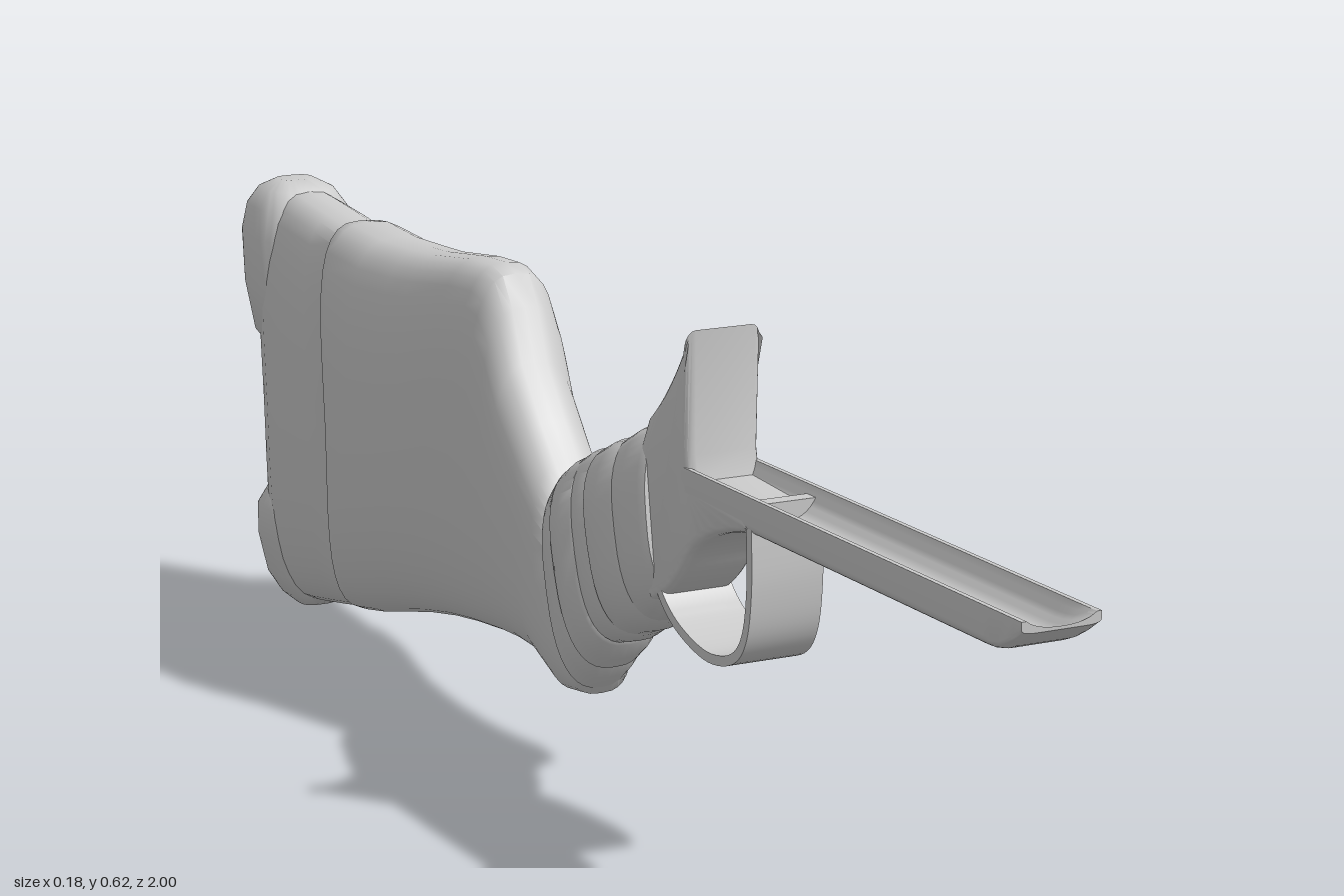
import * as THREE from 'three';
import { toCreasedNormals } from 'three/addons/utils/BufferGeometryUtils.js';

const mat = new THREE.MeshStandardMaterial({ color: 0xcccccc, side: THREE.DoubleSide });
const CX = -0.004; // slight sideways offset of the metalwork

function mesh(name, geo, crease = 0.7) {
  const m = new THREE.Mesh(toCreasedNormals(geo, crease), mat);
  m.name = name;
  return m;
}

// Skin of superellipse rings. Section: [zA, yA, zB, yB, halfWidth, bow],
// where A and B are the two ends of the ring's long axis in the side plane.
function loft(name, sections, { e = 0.7, n = 40, x = 0, crease = 0.75 } = {}) {
  const flat = (s) => s.map((v, i) => (i === 4 ? 0 : v));
  const rings = [flat(sections[0]), ...sections, flat(sections[sections.length - 1])];
  const pos = [], idx = [];
  const pw = (v) => Math.sign(v) * Math.abs(v) ** e;
  rings.forEach(([zA, yA, zB, yB, w, bow = 0], i) => {
    for (let j = 0; j < n; j++) {
      const t = (j / n) * Math.PI * 2, v = pw(Math.cos(t));
      pos.push(x + w * pw(Math.sin(t)),
        (yA + yB) / 2 + (v * (yA - yB)) / 2,
        (zA + zB) / 2 + (v * (zA - zB)) / 2 + bow * (1 - v * v));
      if (i < rings.length - 1) {
        const a = i * n + j, b = i * n + (j + 1) % n;
        idx.push(a, b, a + n, b, b + n, a + n);
      }
    }
  });
  const g = new THREE.BufferGeometry();
  g.setAttribute('position', new THREE.Float32BufferAttribute(pos, 3));
  g.setIndex(idx);
  return mesh(name, g, crease);
}

// Side profile in (z, y), extruded across the width
function sideExtrude(name, shape, width, bevel) {
  const g = new THREE.ExtrudeGeometry(shape, {
    depth: width - 2 * bevel, bevelEnabled: bevel > 0, bevelSize: bevel, bevelThickness: bevel,
    bevelOffset: -bevel, bevelSegments: 4, curveSegments: 16,
  });
  g.translate(0, 0, -(width - 2 * bevel) / 2).rotateY(-Math.PI / 2).translate(CX, 0, 0);
  return mesh(name, g);
}

function buttStock() {
  const g = new THREE.Group();
  g.name = 'buttStock';
  g.add(loft('stockBody', [
    [-0.08, 0.33, 0.00, 0.13, 0.045],
    [-0.09, 0.355, -0.02, 0.105, 0.055],
    [-0.11, 0.375, -0.06, 0.10, 0.059],
    [-0.15, 0.42, -0.13, 0.128, 0.061],
    [-0.20, 0.485, -0.19, 0.13, 0.063],
    [-0.225, 0.55, -0.24, 0.127, 0.065],
    [-0.25, 0.588, -0.29, 0.122, 0.067],
    [-0.28, 0.597, -0.33, 0.118, 0.069],
    [-0.34, 0.594, -0.39, 0.11, 0.074],
    [-0.45, 0.58, -0.46, 0.097, 0.082, 0.02],
    [-0.50, 0.577, -0.51, 0.085, 0.089, 0.02],
    [-0.60, 0.573, -0.60, 0.062, 0.092, 0.03],
    [-0.69, 0.578, -0.66, 0.05, 0.091, 0.04],
    [-0.715, 0.576, -0.685, 0.046, 0.088, 0.05],
    [-0.725, 0.568, -0.695, 0.046, 0.080, 0.05],
    [-0.78, 0.575, -0.75, 0.035, 0.080, 0.04],
    [-0.86, 0.583, -0.83, 0.02, 0.077, 0.03],
    [-0.93, 0.588, -0.89, 0.012, 0.074, 0.03],
    [-0.965, 0.58, -0.925, 0.02, 0.066, 0.035],
    [-0.98, 0.565, -0.94, 0.035, 0.05, 0.035],
  ]));
  // Raised pads at the two corners of the butt
  g.add(loft('heelPad', [
    [-0.87, 0.36, -0.945, 0.375, 0.05],
    [-0.86, 0.385, -0.965, 0.395, 0.068],
    [-0.86, 0.45, -0.985, 0.46, 0.076],
    [-0.86, 0.52, -1.0, 0.53, 0.074],
    [-0.87, 0.56, -1.0, 0.563, 0.064],
    [-0.89, 0.585, -0.985, 0.585, 0.048],
    [-0.92, 0.597, -0.96, 0.597, 0.025],
  ]));
  g.add(loft('toePad', [
    [-0.87, 0.003, -0.92, 0.0, 0.024],
    [-0.85, 0.02, -0.945, 0.015, 0.042],
    [-0.85, 0.05, -0.957, 0.045, 0.06],
    [-0.85, 0.10, -0.965, 0.10, 0.071],
    [-0.85, 0.145, -0.957, 0.145, 0.074],
    [-0.86, 0.17, -0.945, 0.17, 0.06],
  ]));
  return g;
}

// Wrapped wrist: a core with overlapping, slanted cloth bands
function wrist() {
  const g = new THREE.Group();
  g.name = 'wrappedWrist';
  g.add(loft('wristCore', [
    [0.19, 0.485, 0.215, 0.295, 0.052],
    [0.09, 0.45, 0.13, 0.25, 0.054],
    [-0.02, 0.395, 0.05, 0.20, 0.054],
    [-0.10, 0.345, -0.02, 0.12, 0.05],
  ]));
  const bands = [
    [[0.19, 0.50, 0.222, 0.28], [0.09, 0.455, 0.155, 0.24], 0.061],
    [[0.12, 0.466, 0.17, 0.245], [0.03, 0.43, 0.10, 0.21], 0.064],
    [[0.05, 0.437, 0.115, 0.215], [-0.02, 0.408, 0.06, 0.19], 0.060],
    [[0.01, 0.42, 0.065, 0.192], [-0.06, 0.385, 0.02, 0.145], 0.064],
    [[-0.03, 0.405, 0.03, 0.16], [-0.085, 0.36, -0.015, 0.11], 0.060],
  ];
  bands.forEach(([a, b, w], k) => {
    const at = (t, shrink, width) => {
      const s = a.map((v, i) => v + (b[i] - v) * t);
      return [s[0], s[1] - shrink, s[2], s[3] + shrink, width];
    };
    g.add(loft('wrapBand' + (k + 1), [
      at(0, 0.008, w - 0.007), at(0.1, 0.001, w - 0.001), at(0.5, -0.002, w + 0.002),
      at(0.9, 0.001, w - 0.001), at(1, 0.008, w - 0.007),
    ], { x: CX, e: 0.75 }));
  });
  return g;
}

// Receiver with the upright tang
function receiver() {
  const s = new THREE.Shape();
  s.moveTo(0.44, 0.422);
  s.lineTo(0.43, 0.445);
  s.lineTo(0.30, 0.45);
  s.lineTo(0.293, 0.48);
  s.lineTo(0.292, 0.625);
  s.quadraticCurveTo(0.25, 0.55, 0.195, 0.505);
  s.lineTo(0.14, 0.40);
  s.lineTo(0.20, 0.285);
  s.quadraticCurveTo(0.25, 0.30, 0.29, 0.355);
  s.quadraticCurveTo(0.33, 0.405, 0.44, 0.422);
  return sideExtrude('receiver', s, 0.096, 0.012);
}

// Open trough with a rising, tapered nose
function foreEnd() {
  const top = 0.465, w = 0.048, z0 = 0.28, z1 = 1.0;
  const s = new THREE.Shape();
  s.moveTo(-w, top);
  s.lineTo(-w, 0.437);
  s.quadraticCurveTo(-w, 0.42, -0.03, 0.42);
  s.lineTo(0.03, 0.42);
  s.quadraticCurveTo(w, 0.42, w, 0.437);
  s.lineTo(w, top);
  s.lineTo(w - 0.006, top);
  s.quadraticCurveTo(0.03, 0.432, 0, 0.432);
  s.quadraticCurveTo(-0.03, 0.432, -w + 0.006, top);
  const g = new THREE.ExtrudeGeometry(s, { depth: z1 - z0, steps: 48, bevelEnabled: false, curveSegments: 8 });
  g.translate(CX, 0, z0);
  const p = g.attributes.position;
  for (let i = 0; i < p.count; i++) {
    const t = THREE.MathUtils.clamp((p.getZ(i) - 0.93) / 0.07, 0, 1);
    p.setY(i, top - (top - p.getY(i)) * (1 - 0.7 * t * t));
  }
  return mesh('foreEnd', g);
}

// Flat strap bent into the trigger guard
function triggerGuard() {
  const pts = [[0.436, 0.43], [0.438, 0.36], [0.428, 0.30], [0.40, 0.267], [0.345, 0.254],
    [0.285, 0.265], [0.24, 0.288], [0.20, 0.33]].map(([z, y]) => new THREE.Vector2(z, y));
  const curve = new THREE.SplineCurve(pts), outer = [], inner = [];
  for (let i = 0; i <= 40; i++) {
    const c = curve.getPoint(i / 40), t = curve.getTangent(i / 40);
    const nrm = new THREE.Vector2(-t.y, t.x).multiplyScalar(0.006);
    outer.push(c.clone().add(nrm));
    inner.unshift(c.clone().sub(nrm));
  }
  return sideExtrude('triggerGuard', new THREE.Shape([...outer, ...inner]), 0.092, 0);
}

export function createModel() {
  const model = new THREE.Group();
  model.name = 'rifleStock';
  // Small ledge across the trough
  const ledge = mesh('troughLedge', new THREE.BoxGeometry(0.08, 0.022, 0.02));
  ledge.position.set(CX, 0.444, 0.43);
  model.add(buttStock(), wrist(), receiver(), foreEnd(), triggerGuard(), ledge);
  return model;
}
